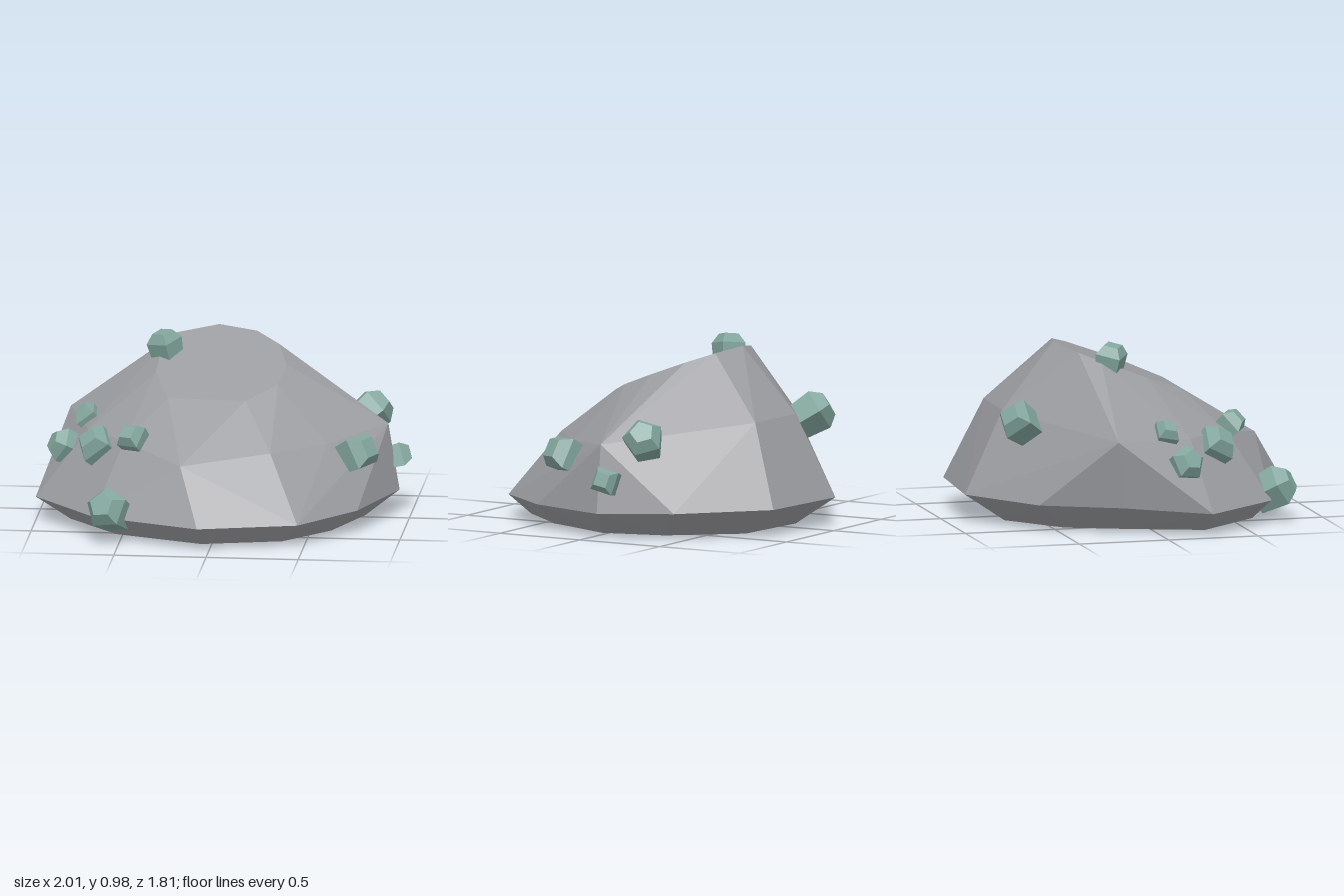
import * as THREE from 'three';
import { ConvexGeometry } from 'three/addons/geometries/ConvexGeometry.js';

const stone = new THREE.MeshStandardMaterial({ color: 0x9b9ca0, flatShading: true });
stone.name = 'grey stone';
const teal = new THREE.MeshStandardMaterial({ color: 0x82a69d, flatShading: true });
teal.name = 'pale teal crystal';

// Widest ring of the boulder: x, z, y
const rim = [
  [-1, 0.25, 0.13], [-0.8, -0.2, 0.15], [-0.59, -0.61, 0.15], [-0.17, -0.91, 0.155],
  [0.42, -0.87, 0.155], [0.8, -0.47, 0.15], [0.94, -0.07, 0.14], [0.76, 0.41, 0.135],
  [0.47, 0.76, 0.13], [-0.06, 0.9, 0.13], [-0.65, 0.67, 0.13],
];
// Shoulder corners between the rim and the cap
const shoulder = [
  [-0.86, -0.24, 0.52], [-0.47, -0.46, 0.56], [-0.12, -0.69, 0.6], [0.29, -0.68, 0.6],
  [0.88, -0.06, 0.51], [0.58, 0.29, 0.47], [0.3, 0.53, 0.47], [-0.17, 0.71, 0.43],
  [-0.5, 0.46, 0.5], [-0.72, 0.2, 0.5],
];
// Outline of the sloping cap: x, z
const cap = [
  [-0.07, -0.39], [0.14, -0.34], [0.27, -0.23], [0.33, -0.05], [0.3, 0.13], [0.14, 0.28],
  [-0.28, 0.27], [-0.37, 0.05], [-0.36, -0.2], [-0.29, -0.31],
];

function boulder() {
  const points = [];
  for (const [x, z, y] of [...rim, ...shoulder]) points.push(new THREE.Vector3(x, y, z));
  for (const [x, z] of cap) points.push(new THREE.Vector3(x, 0.805 - 0.386 * z, z));
  // Narrower base, almost flat
  for (const [x, z] of rim) {
    const bz = z * 0.81 + 0.055;
    points.push(new THREE.Vector3(x * 0.81, 0.01 + bz * 0.014, bz));
  }
  const mesh = new THREE.Mesh(new ConvexGeometry(points), stone);
  mesh.name = 'boulder';
  return mesh;
}

// Stubby prism with a bevelled tip, pointing along dir
function crystal([x, y, z, r, sides, dx, dy, dz, spin], i) {
  const profile = [[0, -1.1], [0.85, -1.1], [1, 0.2], [0.58, 0.72], [0, 0.72]]
    .map(([a, b]) => new THREE.Vector2(a * r, b * r));
  const mesh = new THREE.Mesh(new THREE.LatheGeometry(profile, sides), teal);
  mesh.name = `crystal${i + 1}`;
  mesh.position.set(x, y, z);
  mesh.quaternion.setFromUnitVectors(new THREE.Vector3(0, 1, 0), new THREE.Vector3(dx, dy, dz).normalize());
  mesh.rotateY(spin);
  return mesh;
}

// Position, radius, sides, direction, spin
const crystals = [
  [-0.34, 0.9, -0.14, 0.097, 4, -0.2, 0.95, 0.1, 0.2],
  [-0.37, 0.58, -0.67, 0.115, 4, -0.45, 0.5, -0.7, 0.5],
  [0.78, 0.54, -0.27, 0.115, 5, 0.75, 0.6, -0.3, 0.4],
  [0.93, 0.32, -0.12, 0.09, 4, 0.95, 0.25, -0.15, 0.7],
  [0.75, 0.42, 0.25, 0.12, 4, 0.75, 0.45, 0.45, 0.3],
  [-0.56, 0.19, 0.73, 0.12, 5, -0.35, 0.45, 0.8, 0.4],
  [-0.66, 0.45, 0.36, 0.115, 4, -0.55, 0.65, 0.5, 0.9],
  [-0.45, 0.53, 0.5, 0.09, 4, -0.35, 0.65, 0.6, 0.3],
  [-0.74, 0.54, 0.06, 0.082, 4, -0.6, 0.75, 0.2, 0.8],
  [-0.86, 0.39, 0.14, 0.1, 5, -0.85, 0.45, 0.3, 0.5],
];

export function createModel() {
  const model = new THREE.Group();
  model.name = 'crystalBoulder';
  model.add(boulder());
  const cluster = new THREE.Group();
  cluster.name = 'crystals';
  crystals.forEach((c, i) => cluster.add(crystal(c, i)));
  model.add(cluster);
  return model;
}
